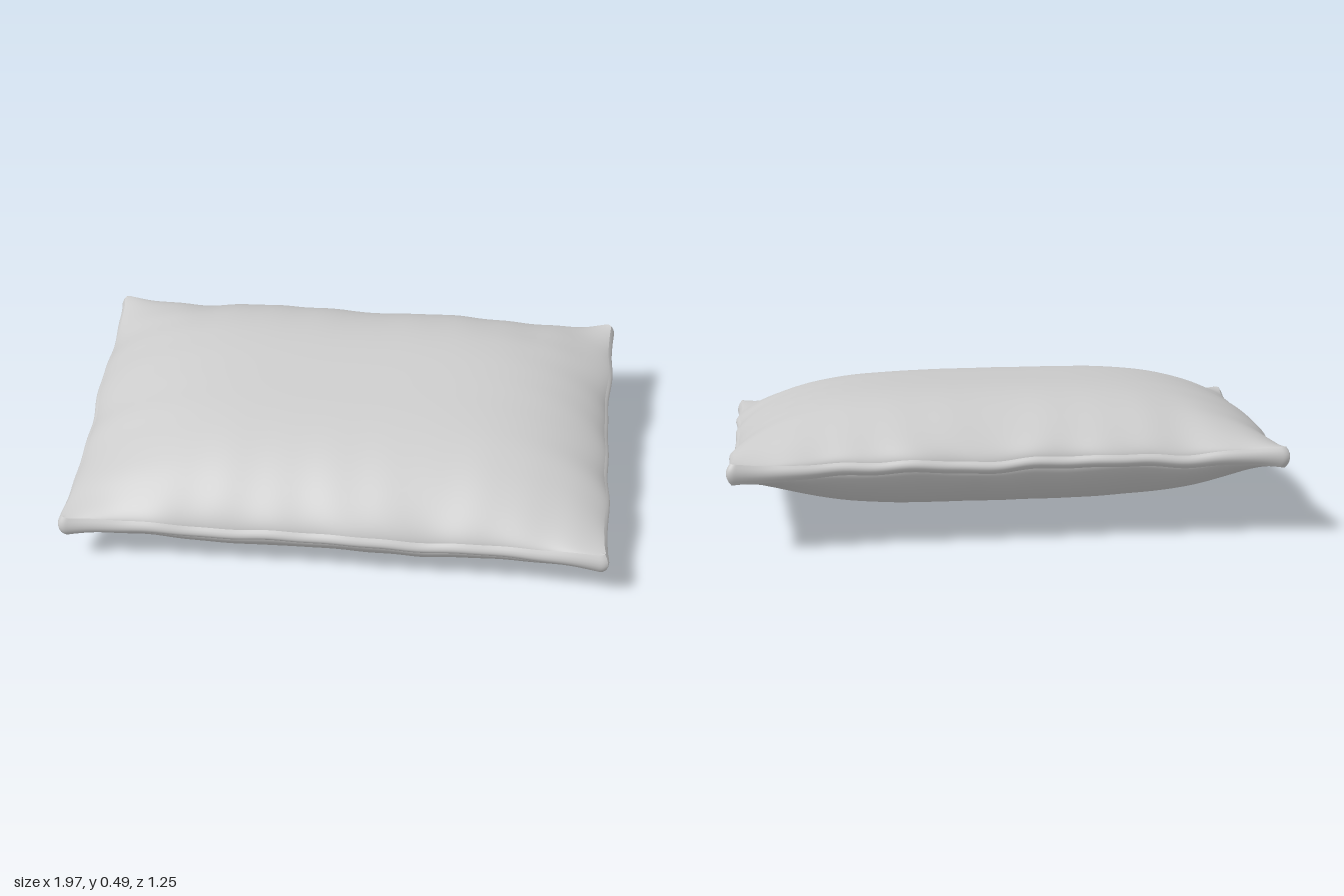
import * as THREE from 'three';
import { mergeVertices } from 'three/addons/utils/BufferGeometryUtils.js';

const HALF_X = 0.99, HALF_Z = 0.63, CORNER = 0.035;
const TILT = -0.135; // rise of the cushion towards the back

// Irregular soft wave for gathered cloth, roughly -1..1
const wave = (t, seed) =>
  0.5 * Math.sin(t * 9 + seed) + 0.3 * Math.sin(t * 17 + seed * 2.3) + 0.2 * Math.sin(t * 29 + seed * 4.1);

// Rounds a footprint point (x, z) into the corner radius
function roundCorner(x, z) {
  const ix = THREE.MathUtils.clamp(x, -HALF_X + CORNER, HALF_X - CORNER);
  const iz = THREE.MathUtils.clamp(z, -HALF_Z + CORNER, HALF_Z - CORNER);
  const dx = x - ix, dz = z - iz, len = Math.hypot(dx, dz);
  if (len === 0) return [x, z];
  const k = Math.max(Math.abs(dx), Math.abs(dz)) / len;
  return [ix + dx * k, iz + dz * k];
}

// Turns a point of the cube [-1, 1] into a point of the stuffed pillow
function pillowPoint(p) {
  const u = Math.sin(p.x * Math.PI / 2), v = Math.sin(p.z * Math.PI / 2), s = p.y;
  const au = Math.abs(u), av = Math.abs(v);
  let [x, z] = roundCorner(u * HALF_X, v * HALF_Z);

  // Seams pinch inwards between the corners
  const alongX = 1 - Math.pow(au, 6), alongZ = 1 - Math.pow(av, 6);
  const sideU = Math.sign(u), sideV = Math.sign(v);
  x -= sideU * Math.pow(au, 8) * alongZ * (0.017 + 0.009 * wave(z, 1 + sideU));
  z -= sideV * Math.pow(av, 8) * alongX * (0.026 + 0.007 * wave(x, 3 + sideV));

  // Rounded rim
  x -= sideU * Math.pow(au, 20) * 0.014 * s * s;
  z -= sideV * Math.pow(av, 20) * 0.014 * s * s;

  // Stuffed thickness, fuller at the seam near the corners
  const bulge = (1 - Math.pow(au, 4)) * (1 - Math.pow(av, 3));
  const rim = 0.022 + 0.018 * Math.pow(au * av, 5);
  let y = s * (rim + 0.2 * bulge);

  // Creases running in from the seams, and a wandering seam line
  const nearX = Math.pow(au, 5) * alongZ, nearZ = Math.pow(av, 4) * alongX;
  const shift = s * 0.7;
  y += s * 0.012 * (nearX * (1 - au) * 4 * wave(z * 1.5, 2 + sideU + shift)
    + nearZ * (1 - av) * 4 * wave(x * 1.2, 5 + sideV + shift));
  y += 0.011 * (nearX * wave(z, 4 + sideU * 2) + nearZ * wave(x, 6 + sideV * 2));

  p.set(x, y + TILT * z, z);
}

export function createModel() {
  const group = new THREE.Group();
  group.name = 'cushion';

  let geometry = new THREE.BoxGeometry(2, 2, 2, 120, 6, 90);
  geometry.deleteAttribute('normal');
  geometry.deleteAttribute('uv');
  geometry = mergeVertices(geometry);

  const pos = geometry.attributes.position, p = new THREE.Vector3();
  for (let i = 0; i < pos.count; i++) {
    pillowPoint(p.fromBufferAttribute(pos, i));
    pos.setXYZ(i, p.x, p.y, p.z);
  }
  geometry.computeBoundingBox();
  geometry.translate(0, -geometry.boundingBox.min.y, 0);
  geometry.computeVertexNormals();

  const pillow = new THREE.Mesh(geometry, new THREE.MeshStandardMaterial({ color: 0xcccccc }));
  pillow.name = 'pillow';
  group.add(pillow);
  return group;
}
